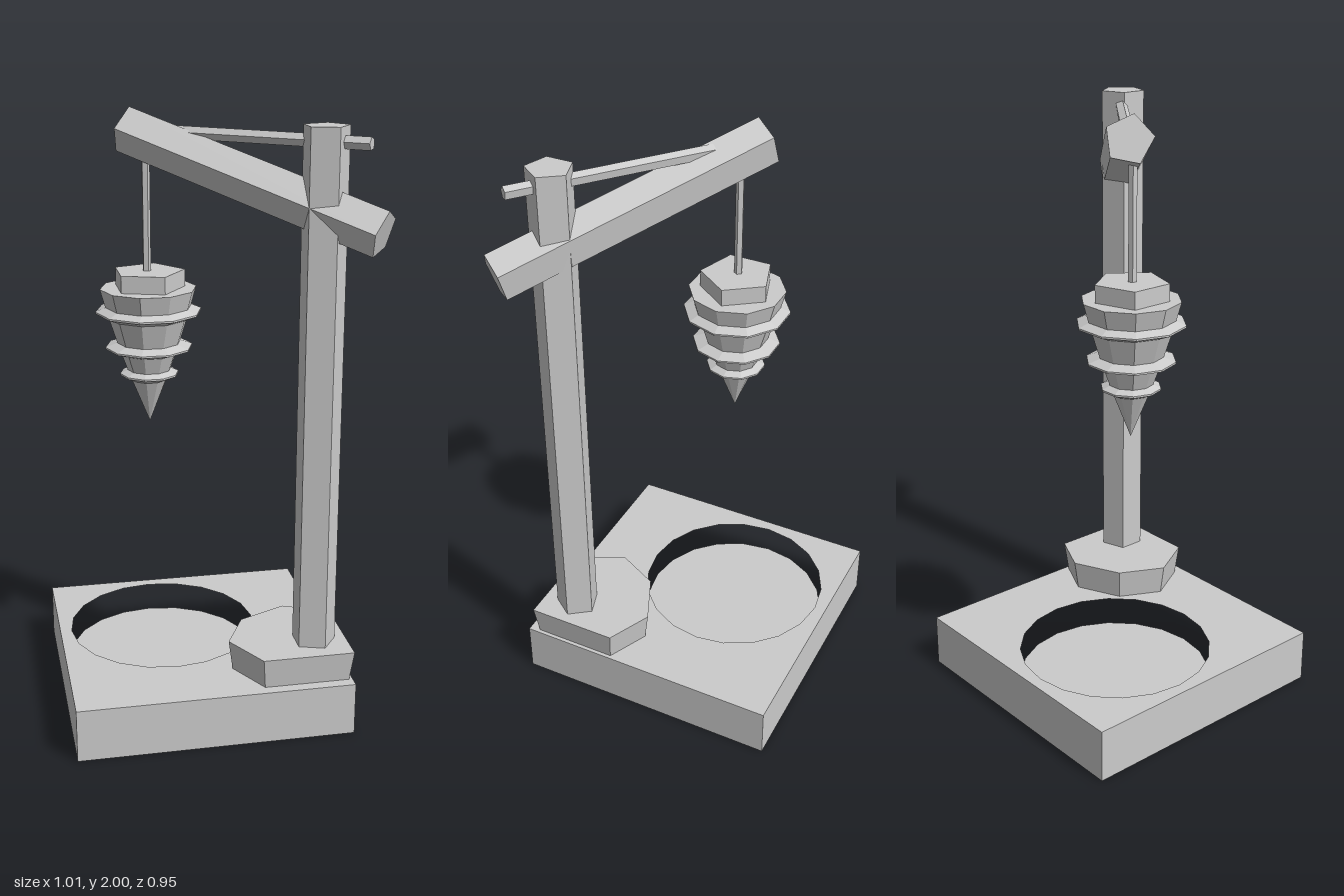
import * as THREE from 'three';

const material = new THREE.MeshStandardMaterial({ color: 0xcccccc, flatShading: true });

function add(parent, name, geometry, x = 0, y = 0, z = 0) {
  const mesh = new THREE.Mesh(geometry, material);
  mesh.name = name;
  mesh.position.set(x, y, z);
  parent.add(mesh);
  return mesh;
}

// Upright prism from y0 to y1, first corner at angle start
function column(parent, name, x, z, y0, y1, radius, sides, start = 0) {
  const g = new THREE.CylinderGeometry(radius, radius, y1 - y0, sides, 1, false, start);
  return add(parent, name, g, x, (y0 + y1) / 2, z);
}

// Slanted prism between two points, rolled about its own axis
function bar(parent, name, a, b, radius, sides, roll) {
  const d = b.clone().sub(a);
  const g = new THREE.CylinderGeometry(radius, radius, d.length(), sides, 1, false, roll);
  d.normalize();
  const side = new THREE.Vector3(-d.z, 0, d.x).normalize();
  const up = side.clone().cross(d);
  g.applyMatrix4(new THREE.Matrix4().makeBasis(side, d, up));
  const m = a.clone().add(b).multiplyScalar(0.5);
  return add(parent, name, g, m.x, m.y, m.z);
}

// Extrude a plan outline of [x, z] points upward
function slab(outline, height, hole) {
  const toPoints = (list) => list.map(([x, z]) => new THREE.Vector2(x, -z));
  const shape = new THREE.Shape(toPoints(outline));
  if (hole) shape.holes.push(new THREE.Path(toPoints(hole)));
  const g = new THREE.ExtrudeGeometry(shape, { depth: height, bevelEnabled: false });
  return g.rotateX(-Math.PI / 2);
}

// Ten-sided turned part, profile listed from bottom to top
function turned(parent, name, profile) {
  const g = new THREE.LatheGeometry(profile.map(([r, y]) => new THREE.Vector2(r, y)), 10);
  return add(parent, name, g.rotateY(Math.PI / 10));
}

export function createModel() {
  const model = new THREE.Group();
  model.name = 'hangingLampPost';

  // Square base with a round recess
  const base = new THREE.Group();
  base.name = 'base';
  model.add(base);
  const floorY = 0.08;
  const circle = Array.from({ length: 20 }, (_, i) => {
    const t = (i / 20) * Math.PI * 2;
    return [-0.135 + 0.325 * Math.cos(t), -0.115 + 0.325 * Math.sin(t)];
  });
  const square = [[-0.5, -0.48], [0.42, -0.48], [0.42, 0.44], [-0.5, 0.44]];
  add(base, 'baseRim', slab(square, 0.18, circle));
  add(base, 'recessFloor', slab(circle, floorY));

  // Irregular foot, narrower at its underside
  const foot = slab([[0.27, 0.035], [0.42, 0.105], [0.42, 0.415],
    [0.115, 0.415], [0.03, 0.26], [0.105, 0.11]], 0.105);
  const p = foot.attributes.position;
  for (let i = 0; i < p.count; i++) {
    if (p.getY(i) > 0.05) continue;
    p.setX(i, 0.235 + (p.getX(i) - 0.235) * 0.93);
    p.setZ(i, 0.235 + (p.getZ(i) - 0.235) * 0.93);
  }
  foot.computeVertexNormals();
  add(model, 'foot', foot, 0, 0.178, 0);

  // Five-sided post, sloping arm and the level brace through the post
  column(model, 'post', 0.31, 0.296, 0.2, 1.975, 0.074, 5, Math.PI / 2);
  bar(model, 'arm', new THREE.Vector3(-0.23, 1.927, -0.143),
    new THREE.Vector3(0.462, 1.665, 0.41), 0.077, 5, 0.2);
  bar(model, 'brace', new THREE.Vector3(-0.13, 1.927, -0.063),
    new THREE.Vector3(0.425, 1.927, 0.38), 0.021, 5, 0.2);

  // Hanging tapered lantern
  const lantern = new THREE.Group();
  lantern.name = 'lantern';
  lantern.position.set(-0.174, 0, -0.083);
  model.add(lantern);
  column(lantern, 'hangingRod', -0.004, 0, 1.45, 1.9, 0.014, 5, Math.PI / 2);
  column(lantern, 'lanternCap', 0, 0, 1.4, 1.477, 0.122, 5, Math.PI / 2);
  turned(lantern, 'lanternBody', [[0, 0.96], [0.064, 1.12], [0.1, 1.22],
    [0.138, 1.34], [0.16, 1.42], [0, 1.42]]);

  // Sharp-edged bands around the body
  for (const [y, r, inner] of [[1.342, 0.176, 0.13], [1.221, 0.145, 0.09], [1.129, 0.098, 0.056]]) {
    turned(lantern, 'lanternBand', [[inner, y - 0.022], [r, y - 0.003], [r, y + 0.003], [inner, y + 0.022]]);
  }
  return model;
}
